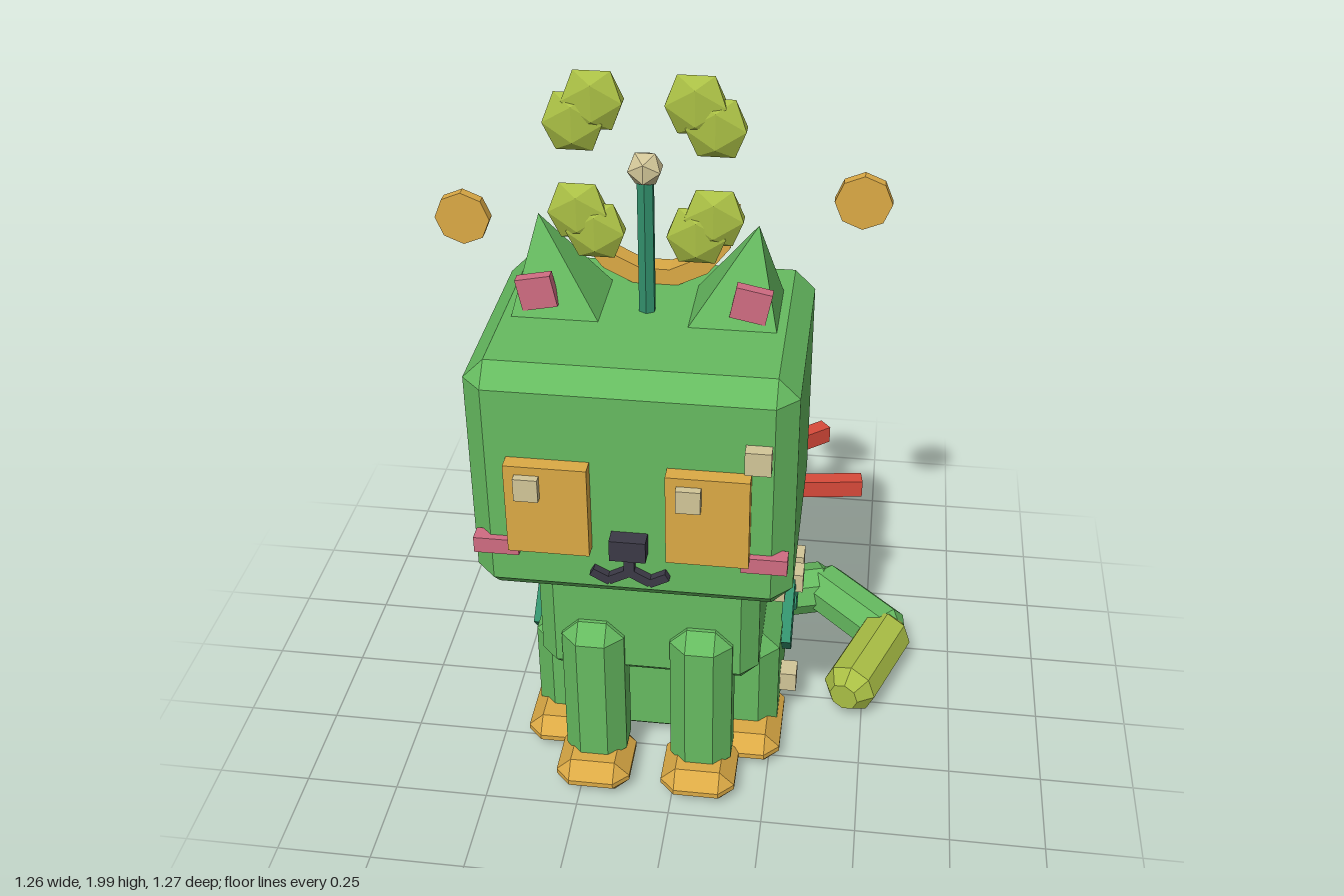
import * as THREE from 'three';
import { ConvexGeometry } from 'three/addons/geometries/ConvexGeometry.js';

const CX = -0.073; // body centre line

function mat(name, color) {
  const m = new THREE.MeshStandardMaterial({ color });
  m.name = name;
  return m;
}

// Box with flat chamfers along every edge
function chamferBox(w, h, d, c) {
  const pts = [];
  for (const sx of [-1, 1]) for (const sy of [-1, 1]) for (const sz of [-1, 1]) {
    const x = w / 2, y = h / 2, z = d / 2;
    pts.push(new THREE.Vector3(sx * x, sy * (y - c), sz * (z - c)));
    pts.push(new THREE.Vector3(sx * (x - c), sy * y, sz * (z - c)));
    pts.push(new THREE.Vector3(sx * (x - c), sy * (y - c), sz * z));
  }
  return new ConvexGeometry(pts);
}

// Faceted bar with bevelled ends
function bevelledBar(length, r) {
  const h = length / 2, b = r * 0.55;
  const profile = [[0, -h], [r * 0.55, -h], [r, -h + b], [r, h - b], [r * 0.55, h], [0, h]];
  const g = new THREE.LatheGeometry(profile.map(p => new THREE.Vector2(...p)), 8, Math.PI / 8).toNonIndexed();
  g.computeVertexNormals();
  return g;
}

function faceted(geometry) {
  const g = geometry.index ? geometry.toNonIndexed() : geometry;
  g.computeVertexNormals();
  return g;
}

export function createModel() {
  const model = new THREE.Group();
  model.name = 'potCat';
  const green = mat('leaf green', 0x66bb60), lime = mat('lime', 0xaabf45), gold = mat('gold', 0xdcaa45),
    cream = mat('cream', 0xd2c698), dark = mat('charcoal', 0x3b3946), teal = mat('teal', 0x32906c),
    pink = mat('pink', 0xd06c82), red = mat('red', 0xd84a3a), blue = mat('blue', 0x5a9ad6),
    purple = mat('purple', 0x8468cc);

  function add(name, geometry, material, x, y, z, parent = model) {
    const mesh = new THREE.Mesh(geometry, material);
    mesh.name = name;
    mesh.position.set(x, y, z);
    parent.add(mesh);
    return mesh;
  }
  const box = (w, h, d) => new THREE.BoxGeometry(w, h, d);

  // Main blocks
  add('head', chamferBox(0.765, 0.63, 0.615, 0.05), green, CX, 1.09, 0.265);
  add('chest', chamferBox(0.58, 0.59, 0.46, 0.045), green, CX, 0.625, 0.115);
  add('haunches', chamferBox(0.675, 0.37, 0.53, 0.05), green, CX, 0.19, -0.045);

  for (const s of [-1, 1]) {
    const side = s > 0 ? 'left' : 'right';
    // Legs and feet
    add(side + 'FrontLeg', chamferBox(0.165, 0.48, 0.165, 0.045), green, CX + s * 0.143, 0.28, 0.318);
    add(side + 'FrontFoot', chamferBox(0.2, 0.095, 0.21, 0.04), gold, CX + s * 0.143, 0.0475, 0.365);
    add(side + 'BackFoot', chamferBox(0.2, 0.095, 0.28, 0.04), gold, CX + s * 0.252, 0.0475, 0.17);

    // Ear pyramid with its tip leaning outwards
    const ear = new THREE.ConeGeometry(0.159, 0.24, 4, 1);
    ear.rotateY(Math.PI / 4);
    const p = ear.attributes.position;
    for (let i = 0; i < p.count; i++) if (p.getY(i) > 0) p.setX(i, p.getX(i) + s * 0.053);
    add(side + 'Ear', faceted(ear), green, CX + s * 0.204, 1.505, 0.22);
    add(side + 'InnerEar', box(0.085, 0.08, 0.028), pink, CX + s * 0.25, 1.467, 0.305).rotation.z = -s * 0.2;

    // Face
    add(side + 'Eye', box(0.193, 0.24, 0.045), gold, CX + s * 0.186, 1.06, 0.588);
    add(side + 'EyeGlint', box(0.057, 0.06, 0.03), cream, CX + s * 0.186 - 0.042, 1.128, 0.615);
    add(side + 'Cheek', box(0.108, 0.042, 0.04), pink, CX + s * 0.317, 0.932, 0.57);
    add(side + 'MouthInner', box(0.05, 0.022, 0.025), dark, CX + s * 0.028, 0.87, 0.58).rotation.z = -s * 0.5;
    add(side + 'MouthOuter', box(0.05, 0.022, 0.025), dark, CX + s * 0.068, 0.868, 0.58).rotation.z = s * 0.5;
  }
  add('nose', box(0.086, 0.056, 0.05), dark, CX, 0.962, 0.588);
  add('mouthStem', box(0.025, 0.065, 0.025), dark, CX, 0.905, 0.58);

  // Antenna
  add('antenna', faceted(new THREE.CylinderGeometry(0.021, 0.021, 0.36, 6)), teal, CX, 1.575, 0.25);
  add('antennaBall', new THREE.IcosahedronGeometry(0.044, 0), cream, CX, 1.765, 0.25);

  // Four clover leaves, two flattened lobes each
  for (const s of [-1, 1])
    for (const [dx, y] of [[0.115, 1.922], [0.16, 1.87], [0.157, 1.652], [0.117, 1.605]]) {
      const leaf = add('cloverLobe', new THREE.IcosahedronGeometry(0.08, 0), lime, CX + s * dx, y, 0.25);
      leaf.scale.z = 0.38;
    }

  // Horseshoe lying open end up on the crown
  const shoe = new THREE.Group();
  shoe.name = 'horseshoe';
  shoe.position.set(CX, 1.595, 0.095);
  model.add(shoe);
  for (let i = 0; i < 7; i++) {
    const a = Math.PI * (1.06 + i * 0.88 / 6);
    add('horseshoePiece', box(0.045, 0.09, 0.055), gold, Math.cos(a) * 0.172, Math.sin(a) * 0.172, 0, shoe)
      .rotation.z = a;
  }

  // Floating coins
  const coin = (r, t) => faceted(new THREE.CylinderGeometry(r, r, t, 8).rotateX(Math.PI / 2));
  add('leftCoin', coin(0.069, 0.027), gold, 0.416, 1.61, 0.028);
  add('rightCoin', coin(0.069, 0.027), gold, -0.565, 1.51, 0.028);

  // Tail in three bars, the last one lime
  const tail = [[0.06, -0.3], [0.36, -0.395], [0.56, -0.2], [0.46, 0.06]];
  for (let i = 0; i < 3; i++) {
    const a = new THREE.Vector3(tail[i][0], 0.097, tail[i][1]);
    const b = new THREE.Vector3(tail[i + 1][0], 0.097, tail[i + 1][1]);
    const dir = b.clone().sub(a);
    const mid = a.clone().add(b).multiplyScalar(0.5);
    add(i < 2 ? 'tailBar' : 'tailTip', bevelledBar(dir.length() + 0.075, 0.077), i < 2 ? green : lime, mid.x, mid.y, mid.z)
      .quaternion.setFromUnitVectors(new THREE.Vector3(0, 1, 0), dir.normalize());
  }

  // Pot of coins on the back
  const pot = new THREE.Group();
  pot.name = 'pot';
  pot.position.set(CX, 0.63, 0);
  model.add(pot);
  const turned = g => faceted(g.rotateY(Math.PI / 8).rotateX(Math.PI / 2));
  add('potBody', turned(new THREE.CylinderGeometry(0.148, 0.1, 0.19, 8)), dark, 0, 0, -0.2, pot);
  add('potRim', turned(new THREE.CylinderGeometry(0.17, 0.17, 0.04, 8)), dark, 0, 0, -0.303, pot);
  for (const [x, y, z] of [[-0.055, 0.02, -0.335], [0.055, 0.02, -0.333], [0, 0.06, -0.345], [0, -0.02, -0.349], [0.04, -0.06, -0.33]])
    add('potCoin', coin(0.053, 0.03), gold, x, y, z, pot);

  // Six banded rays fanning out from the pot
  const bands = [[0.17, 0.215, purple], [0.215, 0.245, blue], [0.245, 0.277, green], [0.277, 0.307, gold], [0.307, 0.535, red]];
  for (const s of [-1, 1])
    for (const angle of [0.26, 0.885, 1.425]) {
      const ray = new THREE.Group();
      ray.name = 'rainbowRay';
      ray.position.set(CX, 0.63, -0.12);
      ray.rotation.y = Math.PI - s * angle;
      model.add(ray);
      for (const [a, b, m] of bands) add('rayBand', box(0.044, 0.05, b - a), m, 0, 0, (a + b) / 2, ray);
    }

  // Tilted teal patches on the flanks and haunch top
  for (const s of [-1, 1]) {
    for (const [dx, y, z, w, h, r] of [
      [0.3, 0.71, 0.125, 0.17, 0.1, 0.7], [0.348, 0.305, 0, 0.18, 0.11, 0.7], [0.348, 0.195, -0.24, 0.13, 0.1, -0.6]])
      add('flankPatch', box(0.03, h, w), teal, CX + s * dx, y, z).rotation.x = r;
    add('topPatch', box(0.13, 0.03, 0.14), teal, CX + s * 0.18, 0.393, -0.21).rotation.y = s * 0.75;
  }

  // Small cream cubes
  for (const [x, y, z] of [
    [0.225, 1.228, 0.575], [0.24, 0.76, 0.035], [0.24, 0.72, -0.115], [0.245, 0.555, 0.185],
    [0.28, 0.34, -0.125], [0.275, 0.3, -0.26], [0.28, 0.13, 0.06], [0.05, 0.42, -0.23],
    [-0.39, 0.735, 0.05], [-0.43, 0.305, -0.105]])
    add('creamCube', box(0.06, 0.06, 0.06), cream, x, y, z);

  return model;
}
